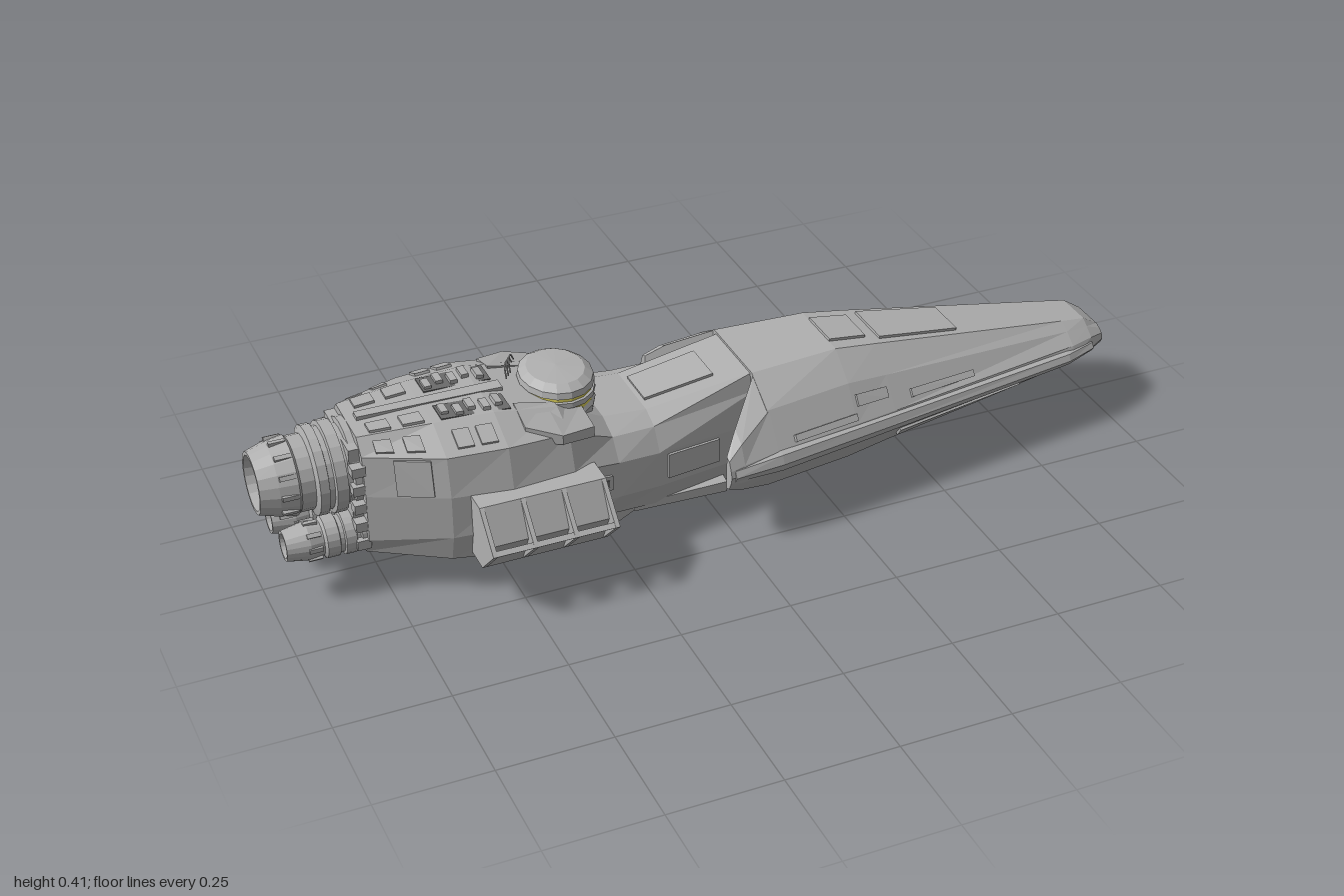
import * as THREE from 'three';

const mat = (name, color, side = THREE.FrontSide) => {
  const m = new THREE.MeshStandardMaterial({ color, flatShading: true, side });
  m.name = name;
  return m;
};

export function createModel() {
  const ship = new THREE.Group();
  ship.name = 'spaceship';
  const grey = mat('hull grey', 0xb0b0b0);
  const dark = mat('vent dark grey', 0x6c6c6c);
  const yellow = mat('window yellow', 0xd8cc58);

  const add = (name, geo, m = grey) => {
    const mesh = new THREE.Mesh(geo, m);
    mesh.name = name;
    ship.add(mesh);
    return mesh;
  };
  // Skin between matching rings, closed by an end cap on each side
  const loft = (rings) => {
    const v = [];
    const tri = (a, b, c) => v.push(...a, ...b, ...c);
    const n = rings[0].length;
    for (let i = 0; i < rings.length - 1; i++) {
      for (let j = 0; j < n; j++) {
        const k = (j + 1) % n, p = rings[i], q = rings[i + 1];
        tri(p[j], p[k], q[j]);
        tri(p[k], q[k], q[j]);
      }
    }
    const first = rings[0], last = rings[rings.length - 1];
    for (let j = 1; j < n - 1; j++) {
      tri(first[0], first[j + 1], first[j]);
      tri(last[0], last[j], last[j + 1]);
    }
    const g = new THREE.BufferGeometry();
    g.setAttribute('position', new THREE.Float32BufferAttribute(v, 3));
    g.computeVertexNormals();
    return g;
  };
  const flip = (rings) => rings.map((r) => r.map(([x, y, z]) => [x, y, -z]).reverse());
  const pair = (name, rings, m) => {
    add('left' + name, loft(rings), m);
    add('right' + name, loft(flip(rings)), m);
  };
  const ring = (x, zy) => zy.map(([z, y]) => [x, y, z]);
  // Half section [z, y] from top to bottom, mirrored to a full ring
  const full = (x, half) => ring(x, [...half, ...half.map(([z, y]) => [-z, y]).reverse()]);
  const mix = (a, b, t) => a.map((c, i) => c + (b[i] - c) * t);
  const surf = (rings, j, x, t) => {
    let i = 0;
    while (i < rings.length - 2 && rings[i + 1][0][0] < x) i++;
    const s = (x - rings[i][0][0]) / (rings[i + 1][0][0] - rings[i][0][0]);
    const n = rings[0].length, k = (j + 1) % n;
    return mix(mix(rings[i][j], rings[i + 1][j], s), mix(rings[i][k], rings[i + 1][k], s), t);
  };
  // Thin plate lying on strip j of a lofted skin
  const plate = (rings, j, x0, x1, t0, t1, h = 0.006) => {
    const base = [[x0, t0], [x0, t1], [x1, t1], [x1, t0]].map(([x, t]) => surf(rings, j, x, t));
    const p = base.map((b) => new THREE.Vector3(...b));
    const nrm = p[2].clone().sub(p[0]).cross(p[3].clone().sub(p[1])).normalize();
    const shift = (d) => p.map((q) => q.clone().addScaledVector(nrm, d).toArray());
    return [shift(-0.004), shift(h)];
  };

  // Long forward hull
  const prow = [
    full(0.09, [[0.1, 0.326], [0.18, 0.275], [0.232, 0.2], [0.24, 0.175], [0.232, 0.15], [0.19, 0.09], [0.1, 0.056]]),
    full(0.3, [[0.085, 0.328], [0.15, 0.275], [0.202, 0.2], [0.21, 0.175], [0.202, 0.152], [0.16, 0.09], [0.09, 0.056]]),
    full(0.4, [[0.08, 0.314], [0.137, 0.265], [0.186, 0.2], [0.194, 0.175], [0.186, 0.153], [0.145, 0.098], [0.085, 0.064]]),
    full(0.9, [[0.05, 0.237], [0.075, 0.222], [0.105, 0.2], [0.118, 0.175], [0.105, 0.158], [0.075, 0.142], [0.05, 0.128]]),
    full(0.96, [[0.045, 0.228], [0.062, 0.215], [0.085, 0.198], [0.092, 0.175], [0.082, 0.16], [0.062, 0.147], [0.045, 0.137]]),
    full(1, [[0.04, 0.203], [0.055, 0.198], [0.066, 0.19], [0.07, 0.177], [0.066, 0.168], [0.055, 0.16], [0.04, 0.157]]),
  ];
  add('forwardHull', loft(prow));
  add('dorsalPanel', loft(plate(prow, 13, 0.42, 0.62, 0.12, 0.88)));
  add('dorsalPanelRear', loft(plate(prow, 13, 0.3, 0.39, 0.2, 0.8)));
  pair('ShoulderPanel', plate(prow, 1, 0.31, 0.39, 0.3, 0.6));
  pair('BowPanel', plate(prow, 1, 0.45, 0.62, 0.55, 0.8));
  pair('LowerPanel', plate(prow, 4, 0.42, 0.75, 0.2, 0.6));
  pair('KeelVent', plate(prow, 5, 0.14, 0.26, 0.3, 0.55), dark);

  // Swept prongs at the back of the forward hull
  pair('Prong', [
    ring(-0.025, [[0.226, 0.215], [0.24, 0.21], [0.25, 0.19], [0.254, 0.175], [0.25, 0.16], [0.24, 0.14], [0.226, 0.135]]),
    ring(0.01, [[0.19, 0.255], [0.225, 0.235], [0.245, 0.195], [0.252, 0.175], [0.245, 0.152], [0.225, 0.12], [0.19, 0.11]]),
    ring(0.095, [[0.1, 0.325], [0.18, 0.274], [0.232, 0.2], [0.24, 0.175], [0.232, 0.15], [0.19, 0.09], [0.1, 0.057]]),
  ]);
  // Rim rails along both edges
  const rail = (x, z, y, h) => ring(x, [[z - 0.03, y + h], [z, y + h * 0.7], [z + 0.008, y], [z, y - h * 0.7], [z - 0.03, y - h]]);
  pair('RimRail', [rail(-0.015, 0.25, 0.175, 0.02), rail(0.1, 0.244, 0.177, 0.028), rail(0.3, 0.213, 0.177, 0.026),
    rail(0.88, 0.123, 0.179, 0.019), rail(0.96, 0.092, 0.178, 0.015)]);
  pair('RimStrip', plate(prow, 1, 0.14, 0.3, 0.75, 0.92, 0.009));

  // Rear body and neck
  const body = [
    full(-0.79, [[0.07, 0.372], [0.1, 0.34], [0.112, 0.25], [0.112, 0.14], [0.08, 0.092]]),
    full(-0.63, [[0.09, 0.377], [0.172, 0.338], [0.188, 0.25], [0.188, 0.15], [0.17, 0.086]]),
    full(-0.5, [[0.1, 0.377], [0.185, 0.338], [0.208, 0.25], [0.214, 0.16], [0.2, 0.084]]),
    full(-0.36, [[0.1, 0.355], [0.17, 0.328], [0.198, 0.25], [0.2, 0.16], [0.18, 0.082]]),
    full(-0.25, [[0.08, 0.29], [0.135, 0.27], [0.17, 0.225], [0.172, 0.14], [0.14, 0.078]]),
    full(-0.15, [[0.08, 0.283], [0.125, 0.265], [0.155, 0.215], [0.155, 0.13], [0.13, 0.07]]),
    full(0.1, [[0.09, 0.322], [0.1, 0.28], [0.108, 0.2], [0.108, 0.12], [0.085, 0.06]]),
  ];
  add('rearBody', loft(body));
  add('spine', loft(plate(body, 9, -0.77, -0.45, 0.42, 0.58, 0.009)));
  add('neckPanel', loft(plate(body, 9, -0.14, 0.02, 0.2, 0.8)));
  add('bellyPanel', loft(plate(body, 4, -0.62, -0.5, 0.3, 0.7)));
  pair('SidePanel', plate(body, 1, -0.73, -0.66, 0.05, 0.95));
  pair('NeckSidePanel', plate(body, 2, -0.13, 0, 0.1, 0.8));
  pair('SideHatch', plate(body, 2, -0.3, -0.27, 0.3, 0.7));
  pair('HatchWindow', plate(body, 2, -0.29, -0.28, 0.4, 0.6, 0.008), dark);
  for (const x of [-0.76, -0.69]) pair('RoofHatch', plate(body, 9, x, x + 0.045, 0.74, 0.96));
  for (const x of [-0.76, -0.7, -0.6, -0.55]) pair('RoofSlopeHatch', plate(body, 0, x, x + 0.035, 0.3, 0.8));
  // Machinery bays on the roof
  pair('RoofBay', plate(body, 9, -0.61, -0.46, 0.66, 0.97, 0.003), dark);
  for (let i = 0; i < 5; i++) {
    const x = -0.605 + i * 0.029;
    pair('RoofPipe', plate(body, 9, x, x + 0.016, 0.7 + (i % 2) * 0.06, 0.88 + (i % 2) * 0.06, 0.009));
  }

  // Side cargo scoops: triangular dividers around recessed bays
  const wedge = (z) => [[0.245, 0.25], [z, 0.175], [0.245, 0.1], [0.18, 0.1], [0.18, 0.25]];
  pair('ScoopBay', [ring(-0.585, wedge(0.285)), ring(-0.315, wedge(0.285))]);
  for (let i = 0; i < 4; i++) {
    const x = -0.59 + i * 0.09;
    pair('ScoopDivider', [ring(x, wedge(0.322)), ring(x + 0.01, wedge(0.322))]);
  }
  pair('ScoopRail', [-0.59, -0.31].map((x) => ring(x, [[0.312, 0.183], [0.322, 0.175], [0.312, 0.167]])));

  // Ventral fin with front grilles
  const fin = [
    full(-0.42, [[0.085, 0.1], [0.085, 0.082]]),
    full(-0.34, [[0.093, 0.1], [0.073, 0.001]]),
    full(-0.22, [[0.093, 0.1], [0.073, 0]]),
    full(-0.155, [[0.093, 0.1], [0.085, 0.045]]),
  ];
  add('ventralFin', loft(fin));
  for (const z of [-0.039, 0.039]) {
    for (let i = 0; i < 4; i++) {
      const slat = add('finGrille', new THREE.BoxGeometry(0.008, 0.005, 0.056), dark);
      slat.position.set(-0.212 + i * 0.013, 0.009 + i * 0.0085, z);
    }
  }
  pair('BellySkid', [ring(-0.2, [[0.09, 0.09], [0.13, 0.08], [0.13, 0.062], [0.09, 0.06]]),
    ring(0.02, [[0.09, 0.09], [0.13, 0.08], [0.13, 0.055], [0.09, 0.052]])]);

  // Bridge dome with window bands
  const turn = (name, pts, m = grey, seg = 16) =>
    add(name, new THREE.LatheGeometry(pts.map(([r, y]) => new THREE.Vector2(r, y)), seg).toNonIndexed(), m);
  const dome = (name, pts, m) => {
    const d = turn(name, pts, m);
    d.position.x = -0.325;
    d.scale.x = 0.82;
  };
  dome('bridgeBase', [[0.085, 0.25], [0.1, 0.32], [0.094, 0.329]]);
  dome('lowerWindowBand', [[0.094, 0.329], [0.094, 0.341]], yellow);
  dome('bridgeWall', [[0.094, 0.341], [0.1, 0.342], [0.1, 0.354], [0.094, 0.355]]);
  dome('upperWindowBand', [[0.094, 0.355], [0.094, 0.363]], yellow);
  dome('bridgeRoof', [[0.094, 0.363], [0.099, 0.364], [0.096, 0.378], [0.075, 0.39], [0, 0.394]]);
  pair('BridgeCollar', [ring(-0.45, [[0.08, 0.375], [0.15, 0.355], [0.15, 0.32], [0.08, 0.32]]),
    ring(-0.38, [[0.08, 0.36], [0.185, 0.337], [0.185, 0.315], [0.08, 0.31]]),
    ring(-0.3, [[0.08, 0.335], [0.16, 0.325], [0.16, 0.3], [0.08, 0.29]])]);
  // Roof cables
  for (let i = 0; i < 3; i++) {
    const z = -0.015 - i * 0.01, x = -0.43 + i * 0.008;
    const path = new THREE.CatmullRomCurve3([[x, 0.375, z], [x, 0.4, z - 0.008], [x + 0.01, 0.404, z - 0.025],
      [x + 0.02, 0.385, z - 0.035]].map((p) => new THREE.Vector3(...p)));
    add('roofCable', new THREE.TubeGeometry(path, 10, 0.0018, 5));
  }

  // Engines: stacked rings, tapering nozzle and ribs
  const engine = (name, x, y, z, pts, ribR, ribX, ribL, ribs) => {
    const e = turn(name, pts, grey, 20);
    e.rotation.z = Math.PI / 2;
    e.position.set(x, y, z);
    for (let i = 0; i < ribs; i++) {
      const a = (i / ribs) * Math.PI * 2;
      const rib = add(name + 'Rib', new THREE.BoxGeometry(ribL, 0.01, 0.01));
      rib.position.set(ribX, y + Math.cos(a) * ribR, z + Math.sin(a) * ribR);
      rib.rotation.x = a;
    }
  };
  engine('mainEngine', -0.77, 0.272, 0, [[0.09, 0], [0.1, 0.02], [0.1, 0.035], [0.088, 0.037], [0.088, 0.048],
    [0.1, 0.05], [0.1, 0.075], [0.09, 0.077], [0.09, 0.088], [0.098, 0.09], [0.098, 0.11], [0.082, 0.115],
    [0.082, 0.145], [0.087, 0.15], [0.08, 0.19], [0.068, 0.23], [0.06, 0.23], [0.05, 0.16], [0, 0.15]],
  0.083, -0.94, 0.035, 12);
  for (const z of [-0.055, 0.055]) {
    engine('lowerEngine', -0.76, 0.137, z, [[0.045, 0], [0.046, 0.04], [0.04, 0.042], [0.04, 0.05], [0.047, 0.052],
      [0.047, 0.075], [0.041, 0.077], [0.041, 0.086], [0.046, 0.088], [0.046, 0.115], [0.038, 0.12], [0.042, 0.15],
      [0.033, 0.2], [0.027, 0.2], [0.022, 0.16], [0, 0.155]], 0.04, -0.9, 0.03, 8);
  }
  const bulkhead = add('engineBulkhead', new THREE.BoxGeometry(0.03, 0.25, 0.17));
  bulkhead.position.set(-0.798, 0.228, 0);
  for (let i = 0; i < 5; i++) {
    for (const s of [-1, 1]) {
      const block = add('bulkheadBlock', new THREE.BoxGeometry(0.03, 0.022, 0.03));
      block.position.set(-0.8, 0.13 + i * 0.045, s * 0.095);
    }
  }
  return ship;
}
